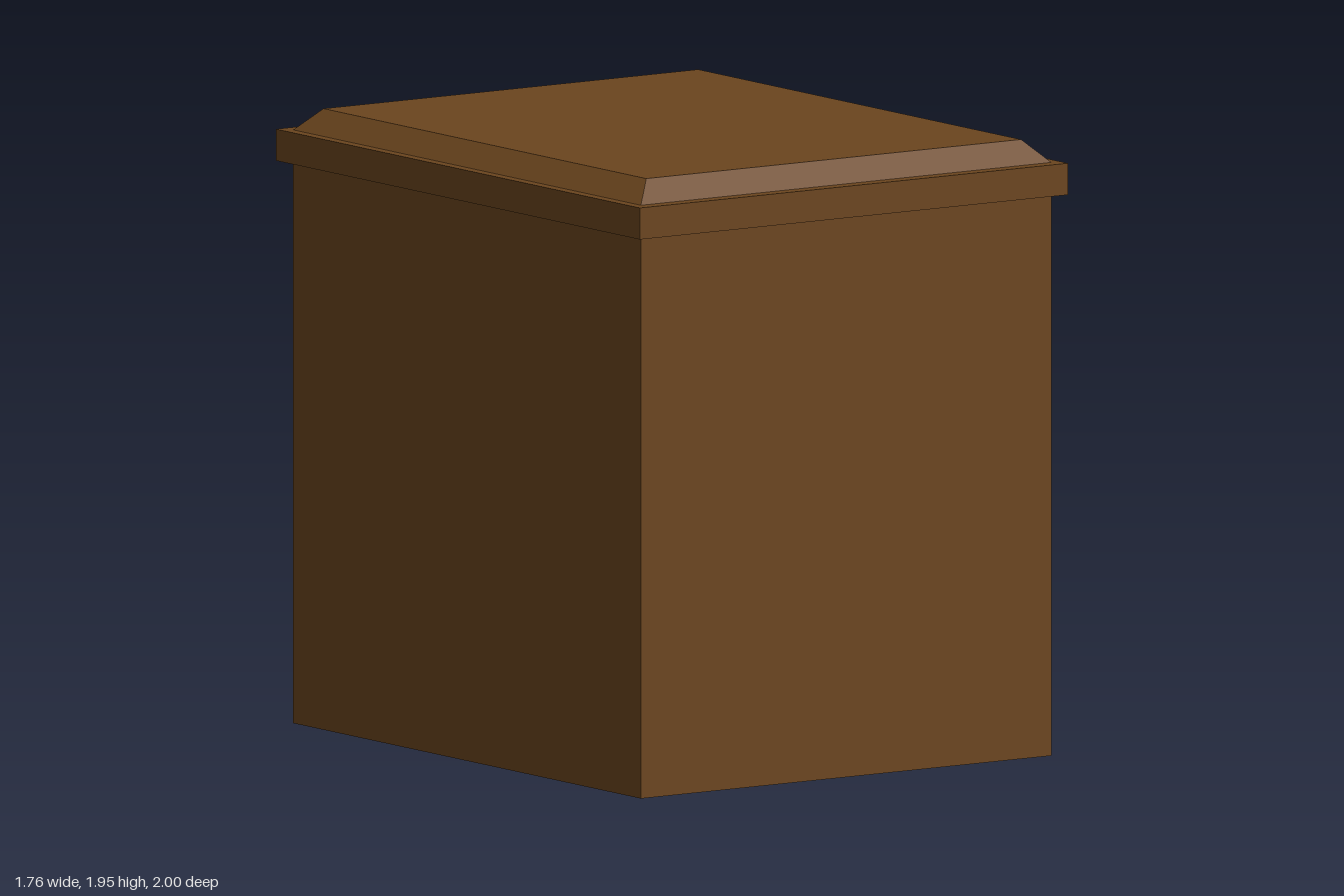
import * as THREE from 'three';

export function createModel() {
  const model = new THREE.Group();
  model.name = 'nightstand';
  const wood = new THREE.MeshStandardMaterial({ color: 0x6b451e, flatShading: true });

  const add = (name, geometry, parent = model) => {
    const mesh = new THREE.Mesh(geometry, wood);
    mesh.name = name;
    parent.add(mesh);
    return mesh;
  };

  // Box given by its limits on each axis
  const box = (x0, x1, y0, y1, z0, z1) =>
    new THREE.BoxGeometry(x1 - x0, y1 - y0, z1 - z0)
      .translate((x0 + x1) / 2, (y0 + y1) / 2, (z0 + z1) / 2);

  const backX = -0.85, frontX = 0.715, grooveDepth = 0.05;
  const bodyTop = 1.8, halfWidth = 0.955;
  const innerX = frontX - grooveDepth;

  // Carcass behind the drawer fronts
  add('carcass', box(backX, innerX, 0, bodyTop, -halfWidth, halfWidth));

  // Drawer openings and the fronts that sit in them, leaving a thin groove
  const openingZ = [-0.748, 0.826];
  const drawers = [
    { name: 'upperDrawer', opening: [0.965, 1.785], front: [0.987, 1.763], knobY: 1.395 },
    { name: 'lowerDrawer', opening: [0.153, 0.898], front: [0.165, 0.875], knobY: 0.565 },
  ];

  // Face frame, drawn with its x running along -z, then turned to face +x
  const rect = (Type, x0, x1, y0, y1) => {
    const r = new Type();
    r.moveTo(x0, y0);
    r.lineTo(x1, y0);
    r.lineTo(x1, y1);
    r.lineTo(x0, y1);
    r.closePath();
    return r;
  };
  const frame = rect(THREE.Shape, -halfWidth, halfWidth, 0, bodyTop);
  for (const d of drawers) {
    frame.holes.push(rect(THREE.Path, -openingZ[1], -openingZ[0], ...d.opening));
  }
  add('faceFrame', new THREE.ExtrudeGeometry(frame, { depth: grooveDepth, bevelEnabled: false })
    .rotateY(Math.PI / 2).translate(innerX, 0, 0));

  // Knob profile: flares outwards, then a small chamfer to a flat end
  const knobProfile = [
    [0, 0], [0.06, 0], [0.084, 0.09], [0.084, 0.118], [0.066, 0.135], [0, 0.135],
  ].map(([r, h]) => new THREE.Vector2(r, h));
  const knobGeometry = new THREE.LatheGeometry(knobProfile, 11).rotateZ(-Math.PI / 2);

  for (const d of drawers) {
    const drawer = new THREE.Group();
    drawer.name = d.name;
    model.add(drawer);
    add('drawerFront', box(innerX, frontX, ...d.front, openingZ[0] + 0.006, openingZ[1] - 0.007), drawer);
    add('knob', knobGeometry, drawer).position.set(0.745, d.knobY, 0.028);
  }

  // Overhanging top slab
  add('topSlab', box(-0.885, 0.748, 1.78, 1.88, -1, 1));

  // Raised panel with sloping sides: the upper corners move inwards
  const panel = box(backX, frontX, 1.88, 1.95, -halfWidth, halfWidth);
  const p = panel.attributes.position;
  const midX = (backX + frontX) / 2, inset = 0.068;
  for (let i = 0; i < p.count; i++) {
    if (p.getY(i) < 1.9) continue;
    p.setX(i, p.getX(i) - Math.sign(p.getX(i) - midX) * inset);
    p.setZ(i, p.getZ(i) - Math.sign(p.getZ(i)) * inset);
  }
  panel.computeVertexNormals();
  add('topPanel', panel);

  return model;
}
